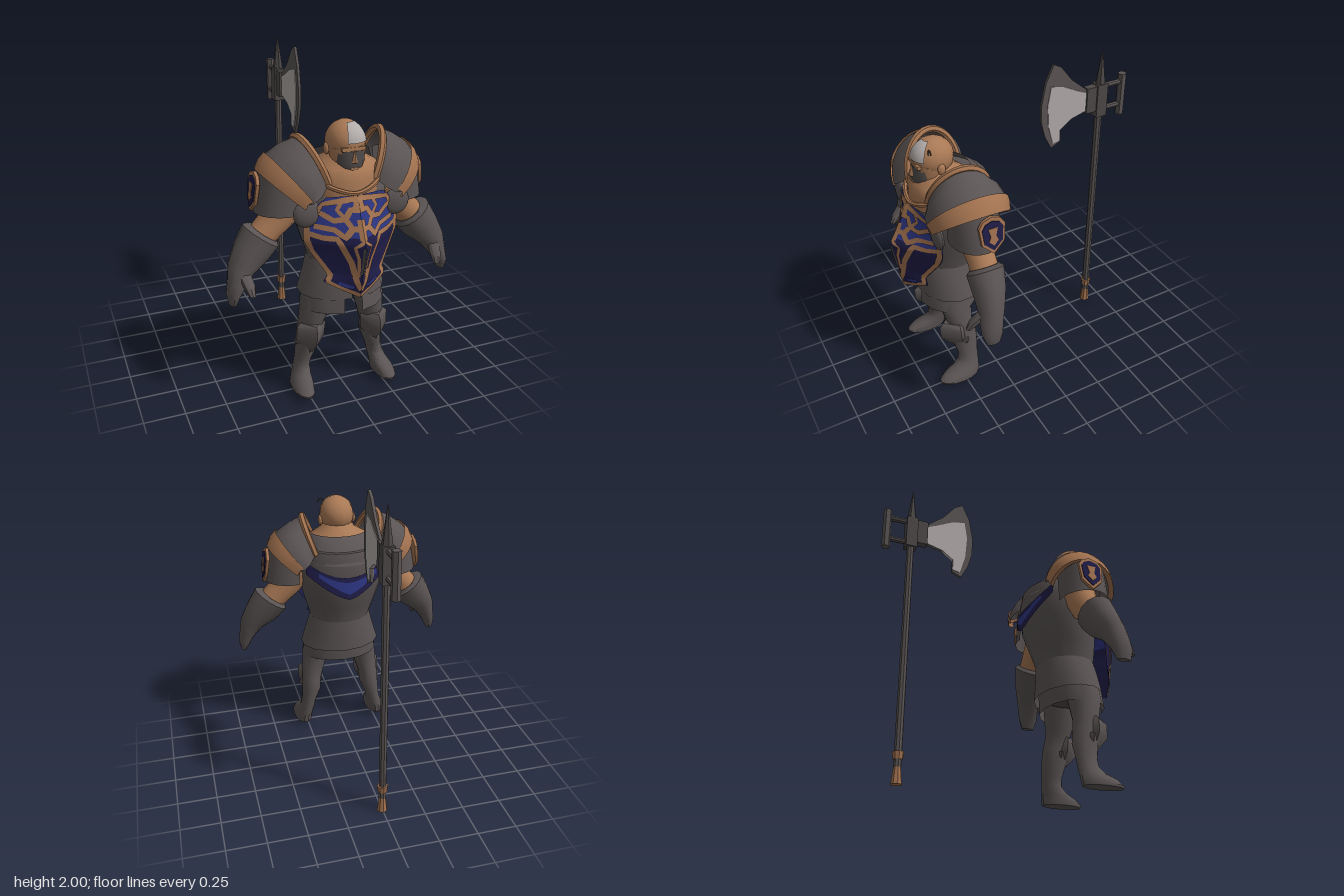
import * as THREE from 'three';
import { toCreasedNormals } from 'three/addons/utils/BufferGeometryUtils.js';

const V = (x, y, z) => new THREE.Vector3(x, y, z);
const lerp = THREE.MathUtils.lerp;
const mat = (name, color) => {
  const m = new THREE.MeshStandardMaterial({ color, side: THREE.DoubleSide });
  m.name = name;
  return m;
};

export function createModel() {
  const model = new THREE.Group();
  model.name = 'armouredWarrior';
  const steel = mat('steel', 0x5b5454), darkSteel = mat('darkSteel', 0x4d4848);
  const skin = mat('skin', 0xa97955), trim = mat('bronzeTrim', 0xa37350);
  const blue = mat('blueEnamel', 0x2d3684), navy = mat('navyEnamel', 0x1f1d48), silver = mat('silver', 0xb2acaa);

  const add = (name, geo, material) => {
    const m = new THREE.Mesh(toCreasedNormals(geo, 0.7), material);
    m.name = name;
    model.add(m);
  };
  // Adds a part on the +x side and its reflection on the -x side
  const pair = (name, geo, material) => {
    add(name + 'Left', geo, material);
    const g = geo.index ? geo.toNonIndexed() : geo.clone();
    g.scale(-1, 1, 1);
    const p = g.attributes.position, a = V(), b = V();
    for (let i = 0; i < p.count; i += 3) {
      a.fromBufferAttribute(p, i); b.fromBufferAttribute(p, i + 2);
      p.setXYZ(i, b.x, b.y, b.z); p.setXYZ(i + 2, a.x, a.y, a.z);
    }
    add(name + 'Right', g, material);
  };
  // Surface through rows of points
  const grid = (rows) => {
    const n = rows[0].length, idx = [];
    for (let i = 0; i < rows.length - 1; i++) for (let j = 0; j < n - 1; j++) {
      const a = i * n + j;
      idx.push(a, a + 1, a + n, a + 1, a + n + 1, a + n);
    }
    const g = new THREE.BufferGeometry().setFromPoints(rows.flat());
    g.setIndex(idx);
    return g;
  };
  // Elliptical sections [x, y, z, rx, rz, tilt], listed from top to bottom
  const loft = (secs, { n = 14, from = 0, to = Math.PI * 2, cap = true } = {}) => {
    const ring = ([x, y, z, rx, rz, t = 0]) => Array.from({ length: n + 1 }, (_, j) => {
      const a = lerp(from, to, j / n), c = rx * Math.cos(a);
      return V(x + c * Math.cos(t), y + c * Math.sin(t), z + rz * Math.sin(a));
    });
    const rows = secs.map(ring);
    if (cap) {
      const point = (s) => ring([s[0], s[1], s[2], 0, 0]);
      rows.unshift(point(secs[0]));
      rows.push(point(secs[secs.length - 1]));
    }
    return grid(rows);
  };
  const tube = (pts, r, seg = 16) => new THREE.TubeGeometry(new THREE.CatmullRomCurve3(pts), seg, r, 6, false);
  const ball = (x, y, z, rx, ry, rz) => new THREE.SphereGeometry(1, 14, 10).scale(rx, ry, rz).translate(x, y, z);
  const box = (x, y, z, w, h, d) => new THREE.BoxGeometry(w, h, d).translate(x, y, z);
  // Flat outline in the z-y plane, given thickness along x
  const slab = (pts, depth) => new THREE.ExtrudeGeometry(
    new THREE.Shape(pts.map(([z, y]) => new THREE.Vector2(z, y))), { depth, bevelEnabled: false })
    .translate(0, 0, -depth / 2).rotateY(-Math.PI / 2);

  // Torso
  add('cuirass', loft([[0, 1.42, .38, .24, .19], [0, 1.3, .41, .3, .24],
    [0, 1.15, .42, .28, .235], [0, 1.0, .445, .24, .205], [0, .87, .46, .2, .18], [0, .78, .46, .19, .17]], { n: 20 }), steel);
  add('neckAndChest', loft([[0, 1.56, .5, .08, .08], [0, 1.5, .49, .12, .12], [0, 1.455, .485, .2, .17],
    [0, 1.39, .485, .225, .185], [0, 1.3, .48, .21, .195]], { n: 18 }), skin);
  add('backCollar', loft([[0, 1.5, .46, .2, .165], [0, 1.46, .43, .225, .19], [0, 1.34, .42, .28, .25]],
    { n: 10, from: Math.PI + .25, to: Math.PI * 2 - .25, cap: false }), steel);
  add('collarTrim', tube([V(-.2, 1.4, .58), V(-.12, 1.36, .655), V(0, 1.33, .685), V(.12, 1.36, .655), V(.2, 1.4, .58)], .014), trim);

  // Ridged front plate; sizes by height: [y, half width, ridge z, edge z]
  const plate = [[1.32, .17, .69, .66], [1.29, .21, .71, .65], [1.15, .29, .775, .61], [1.06, .29, .825, .61], [1.0, .26, .815, .62],
    [.86, .17, .79, .68], [.82, .195, .785, .68], [.78, .12, .775, .72], [.72, .005, .765, .76]];
  const plateAt = (y) => {
    let i = 0;
    while (i < plate.length - 2 && plate[i + 1][0] > y) i++;
    const [a, b] = [plate[i], plate[i + 1]];
    const t = THREE.MathUtils.clamp((a[0] - y) / (a[0] - b[0]), 0, 1);
    return a.map((v, k) => lerp(v, b[k], t));
  };
  const onPlate = (x, y) => {
    const [, w, r, e] = plateAt(y), cx = THREE.MathUtils.clamp(x, 0, w);
    return V(cx, y, lerp(r, e, cx / w) + .007);
  };
  const plateField = (top, bottom, steps) => grid(Array.from({ length: steps + 1 }, (_, i) => {
    const [y, w, r, e] = plateAt(lerp(top, bottom, i / steps));
    return Array.from({ length: 5 }, (_, j) => V(w * (1 - j / 4), y, lerp(e, r, j / 4)));
  }));
  pair('upperChestPlate', plateField(1.32, 1.1, 11), blue);
  pair('lowerChestPlate', plateField(1.1, .72, 19), navy);
  // Painted bands that follow the plate
  const band = (pts, width) => {
    const path = [];
    pts.forEach((p, i) => {
      if (!i) return path.push(p);
      for (let k = 1; k <= 4; k++) path.push([lerp(pts[i - 1][0], p[0], k / 4), lerp(pts[i - 1][1], p[1], k / 4)]);
    });
    return grid(path.map(([x, y], i) => {
      const a = path[Math.max(i - 1, 0)], b = path[Math.min(i + 1, path.length - 1)];
      const dx = b[0] - a[0], dy = b[1] - a[1], l = Math.hypot(dx, dy) || 1;
      return [-1, 0, 1].map((s) => onPlate(x - s * width / 2 * dy / l, y + s * width / 2 * dx / l));
    }));
  };
  [[[[0, 1.31], [.2, 1.285], [.275, 1.15], [.275, 1.07], [.25, 1.0], [.158, .86], [.18, .82], [.11, .78], [0, .735]], .03],
    [[[.27, 1.11], [.2, 1.09], [.13, 1.09], [.1, 1.03], [.06, .95], [.025, .82], [0, .77]], .03],
    [[[0, 1.25], [.05, 1.25], [.08, 1.2], [.05, 1.15], [0, 1.15]], .03],
    [[[.08, 1.2], [.14, 1.19], [.21, 1.235]], .03],
    [[[.05, 1.15], [.09, 1.1], [.14, 1.14], [.24, 1.155]], .03],
    [[[.09, 1.3], [.12, 1.25], [.08, 1.2]], .022],
    [[[0, 1.31], [.012, 1.25]], .05], [[[.008, 1.2], [.008, 1.09]], .03],
    [[[0, 1.09], [.05, 1.05], [.028, .98], [.02, .86]], .016],
  ].forEach(([pts, w], i) => pair('chestOrnament' + i, band(pts, w), trim));
  pair('chestLowerGlint', band([[.04, .785], [.12, .815]], .022), blue);
  pair('chestSpear', band([[0, 1.05], [0, .88]], .024), darkSteel);

  // Cloth hanging across the upper back, with a brighter band in its middle
  const drape = (half, v0, v1, out) => grid([0, .5, 1].map((k) => Array.from({ length: 13 }, (_, j) => {
    const u = (j / 6 - 1) * half, v = lerp(v0, v1 - (v1 - v0) * .5 * (half < 1 ? Math.abs(j / 6 - 1) : 0), k);
    return V(u * .27, lerp(1.26 + .1 * u * u, 1.11 + .17 * Math.abs(u) ** 1.4, v), lerp(.165, .152, v) + .1 * u * u - out);
  })));
  add('backCloth', drape(1, 0, 1, 0), navy);
  add('backClothBand', drape(.72, .2, .75, .005), blue);

  // Waist and tassets
  const open = (gap) => ({ n: 14, from: Math.PI / 2 + gap, to: Math.PI * 2.5 - gap, cap: false });
  add('upperSkirt', loft([[0, .89, .46, .21, .19], [0, .8, .47, .235, .2], [0, .67, .475, .275, .208]], open(.04)), steel);
  add('lowerSkirt', loft([[0, .7, .485, .25, .19], [0, .58, .495, .265, .194]], open(.22)), steel);
  add('pelvis', loft([[0, .8, .46, .18, .16], [0, .68, .46, .19, .14], [0, .63, .46, .06, .1]]), darkSteel);

  // Legs
  pair('legAndBoot', loft([[.14, .76, .47, .1, .11], [.17, .6, .5, .095, .11], [.195, .47, .49, .08, .085], [.212, .38, .475, .068, .085],
    [.216, .3, .465, .068, .085], [.24, .2, .458, .05, .068], [.25, .15, .462, .05, .07], [.26, .11, .485, .054, .09],
    [.27, .08, .52, .062, .122], [.275, .045, .54, .067, .14], [.275, .03, .54, .064, .136]]), steel);
  pair('kneeGuard', loft([[.205, .475, .52, .07, .085], [.207, .45, .525, .092, .105], [.212, .36, .52, .09, .108], [.215, .285, .515, .03, .045]],
    { n: 4 }), steel);
  pair('shinGuard', loft([[.214, .36, .485, .082, .09], [.22, .33, .485, .082, .085], [.225, .27, .5, .02, .045]], { n: 4 }), steel);

  // Arms
  pair('upperArm', loft([[.3, 1.28, .43, .11, .1, .64], [.36, 1.17, .43, .1, .09, .64], [.43, 1.1, .43, .09, .085, .64],
    [.5, 1.03, .435, .085, .085, .64]]), skin);
  pair('gauntlet', loft([[.47, 1.07, .435, .1, .09, .64], [.485, 1.055, .435, .127, .113, .64], [.55, .965, .445, .113, .1, .55],
    [.615, .88, .465, .084, .08, .4], [.645, .81, .48, .06, .074, .2], [.672, .74, .49, .045, .066, 0], [.682, .675, .49, .022, .045, 0]]), steel);
  pair('thumb', loft([[.615, .87, .5, .04, .045], [.6, .81, .565, .035, .035], [.592, .76, .6, .02, .022]], { n: 8 }), steel);

  // Layered shoulder armour; each arc runs from front over the top to the back
  const arc = (f, top, b) => Array.from({ length: 15 }, (_, i) => {
    const t = Math.PI * i / 14, c = (1 - Math.cos(t)) / 2, s = Math.sin(t);
    return V(lerp(f[0], b[0], c) + (top[0] - (f[0] + b[0]) / 2) * s, lerp(f[1], b[1], c) + (top[1] - (f[1] + b[1]) / 2) * s, lerp(f[2], b[2], c));
  });
  const arcs = [arc([.14, 1.38, .62], [.252, 1.615], [.2, 1.4, .27]), arc([.2, 1.33, .67], [.33, 1.58], [.25, 1.36, .21]),
    arc([.25, 1.3, .68], [.42, 1.52], [.29, 1.33, .195]), arc([.29, 1.29, .655], [.475, 1.45], [.33, 1.32, .215])];
  pair('pauldron', grid(arcs), steel);
  pair('pauldronInnerTrim', tube(arcs[0], .022, 20), trim);
  pair('pauldronOuterTrim', grid([arc([.255, 1.315, .685], [.43, 1.527], [.295, 1.345, .19]),
    arc([.285, 1.3, .68], [.468, 1.487], [.32, 1.33, .195]), arc([.295, 1.265, .67], [.492, 1.435], [.335, 1.295, .205]),
    arc([.28, 1.265, .64], [.46, 1.435], [.315, 1.295, .235])]), trim);
  pair('shoulderGuard', loft([[.31, 1.46, .43, .165, .15], [.33, 1.33, .43, .172, .153], [.345, 1.2, .43, .178, .156]],
    { n: 12, from: -1.75, to: 1.75, cap: false }), steel);
  pair('rondel', ball(.275, 1.23, .632, .082, .082, .028), steel);

  // Shield badges on the shoulders
  const shield = (k) => [[-.055, .1], [0, .118], [.055, .1], [.082, .06], [.07, -.05], [0, -.118], [-.07, -.05], [-.082, .06]]
    .map(([z, y]) => [z * k, y * k]);
  const badge = (g, out) => g.translate(out, 0, 0).rotateZ(.12).translate(.513, 1.315, .4);
  pair('badgeRim', badge(slab(shield(1), .02), 0), trim);
  pair('badgeField', badge(slab(shield(.8), .006), .012), navy);
  pair('badgeMotif', badge(slab([[-.03, .05], [.03, .05], [.016, 0], [.03, -.03], [0, -.06], [-.03, -.03], [-.016, 0]], .006), .016), trim);

  // Head
  add('skull', ball(0, 1.59, .515, .115, .122, .127), skin);
  add('jaw', loft([[0, 1.57, .53, .108, .11], [0, 1.5, .54, .1, .1], [0, 1.42, .55, .07, .08]]), skin);
  add('beard', loft([[0, 1.56, .565, .086, .08], [0, 1.5, .565, .09, .088], [0, 1.43, .57, .077, .085], [0, 1.385, .565, .045, .06]]), darkSteel);
  add('brow', box(0, 1.572, .628, .14, .022, .024), skin);
  add('nose', new THREE.ConeGeometry(.02, .075, 4).translate(0, 1.535, .648), skin);
  add('mouth', box(0, 1.465, .652, .05, .012, .008), skin);
  pair('ear', ball(.113, 1.555, .51, .016, .035, .025), skin);
  add('hairPatch', new THREE.SphereGeometry(1, 12, 8, 1.25, 1.15, .4, 1.05).scale(.121, .128, .134).translate(0, 1.59, .515), silver);
  add('hairCurl', new THREE.TorusGeometry(.018, .005, 5, 10, 4.2).translate(.095, 1.665, .57), darkSteel);

  // Poleaxe standing behind
  const pz = -.635;
  const post = (name, r1, r2, y0, y1, n, m) => add(name, new THREE.CylinderGeometry(r1, r2, y1 - y0, n).translate(0, (y0 + y1) / 2, pz), m);
  post('axeShaft', .024, .024, .1, 1.6, 8, steel);
  post('axeButt', .018, .034, 0, .14, 8, trim);
  post('axeButtRing', .035, .03, .145, .19, 8, trim);
  post('axeSpike', .002, .036, 1.76, 2, 6, darkSteel);
  add('axeSocket', box(0, 1.67, pz, .07, .22, .075), darkSteel);
  add('axeCheek', box(0, 1.685, -.565, .05, .17, .075), darkSteel);
  add('axeEdge', slab([[-.53, 1.76], [-.42, 1.85], [-.34, 1.95], [-.286, 1.98], [-.235, 1.87], [-.207, 1.72], [-.212, 1.6],
    [-.24, 1.5], [-.285, 1.415], [-.35, 1.445], [-.345, 1.53], [-.42, 1.585], [-.53, 1.615]], .018), steel);
  add('axeFace', slab([[-.53, 1.74], [-.46, 1.77], [-.36, 1.82], [-.27, 1.84], [-.25, 1.72], [-.26, 1.57], [-.295, 1.445],
    [-.345, 1.455], [-.345, 1.53], [-.42, 1.585], [-.53, 1.615]], .026), silver);
  for (const y of [1.6, 1.755]) {
    add('hammerBar', new THREE.CylinderGeometry(.018, .018, .13, 8).rotateX(Math.PI / 2).translate(0, y, -.725), steel);
  }
  add('hammerHead', new THREE.CylinderGeometry(.028, .028, .28, 6).translate(0, 1.67, -.798), steel);
  return model;
}
